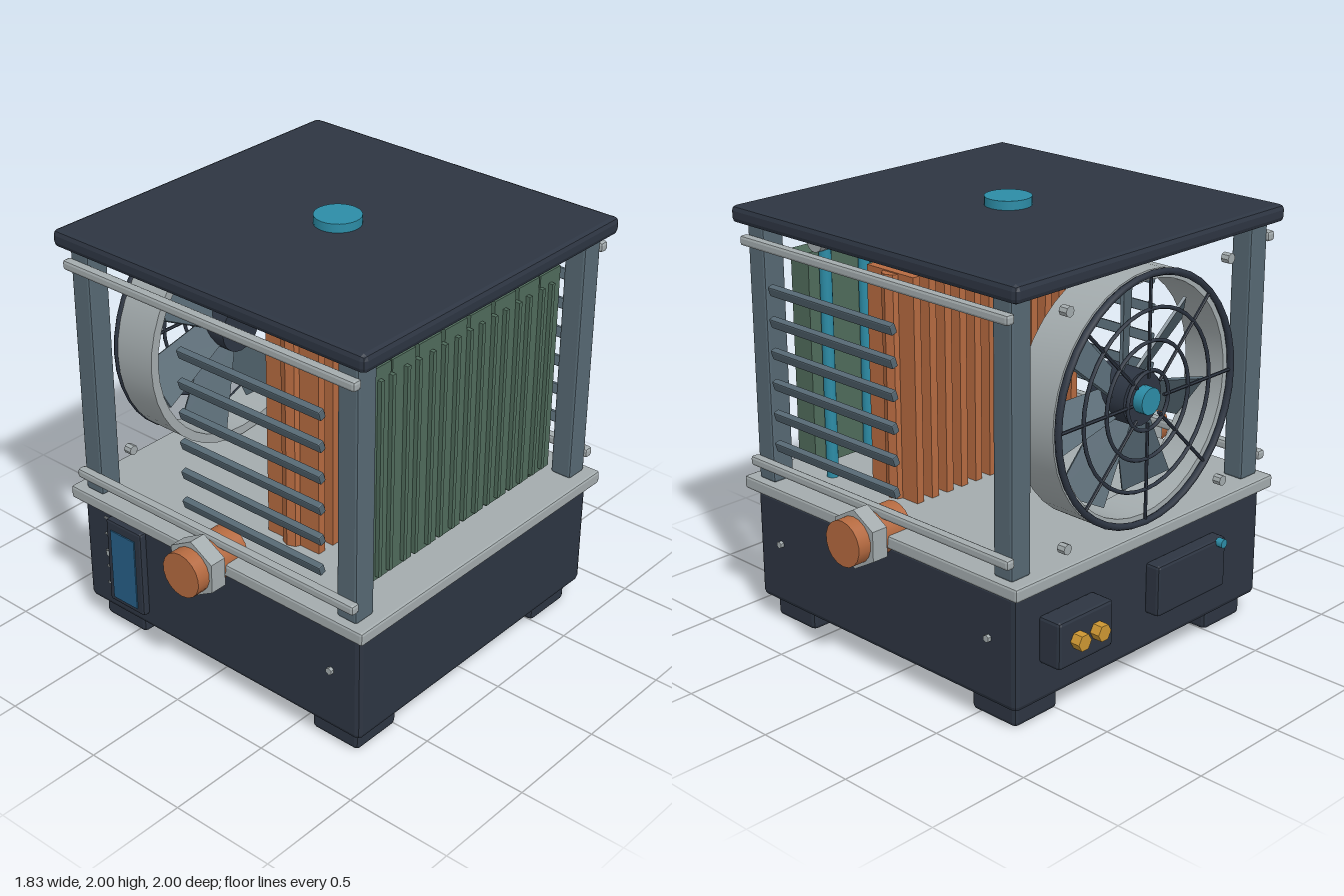
import * as THREE from 'three';
import { toCreasedNormals } from 'three/addons/utils/BufferGeometryUtils.js';
import { RoundedBoxGeometry } from 'three/addons/geometries/RoundedBoxGeometry.js';

const paint = (name, color) => {
  const m = new THREE.MeshStandardMaterial({ color });
  m.name = name;
  return m;
};

export function createModel() {
  const dark = paint('dark navy', 0x2d3542);
  const silver = paint('light grey', 0xa3abad);
  const slate = paint('slate', 0x566873);
  const copper = paint('copper', 0xb56a40);
  const teal = paint('teal', 0x2c8ca6);
  const green = paint('radiator green', 0x4f6b5b);
  const blue = paint('screen blue', 0x265f87);
  const gold = paint('gold', 0xcc9632);

  const model = new THREE.Group();
  const CX = 0.055; // centre of the housing in x

  function add(name, geo, mat, x = 0, y = 0, z = 0, parent = model) {
    const mesh = new THREE.Mesh(geo, mat);
    mesh.name = name;
    mesh.position.set(x, y, z);
    parent.add(mesh);
    return mesh;
  }
  // box with flat chamfered edges
  function chamferBox(w, h, d, r) {
    const g = new RoundedBoxGeometry(w, h, d, 1, r);
    g.computeVertexNormals();
    return g;
  }
  const box = (w, h, d) => new THREE.BoxGeometry(w, h, d);
  // cylinder along the chosen axis
  function rod(r, len, sides, axis = 'y') {
    const g = new THREE.CylinderGeometry(r, r, len, sides);
    if (axis === 'x') g.rotateZ(Math.PI / 2);
    if (axis === 'z') g.rotateX(Math.PI / 2);
    return sides < 10 ? toCreasedNormals(g, 0.3) : g;
  }

  // housing: base, deck, lid and cap
  add('base', chamferBox(1.63, 0.53, 1.594, 0.025), dark, CX, 0.37, 0);
  add('deck', chamferBox(1.715, 0.062, 1.67, 0.012), silver, CX, 0.667, 0);
  add('lid', chamferBox(1.715, 0.08, 1.676, 0.024), dark, CX, 1.92, 0);
  add('topCap', rod(0.105, 0.05, 24), teal, CX, 1.975, 0);

  for (const sx of [-1, 1]) {
    for (const sz of [-1, 1]) {
      add('foot', chamferBox(0.257, 0.115, 0.257, 0.02), dark, CX + sx * 0.638, 0.0575, sz * 0.62);
      add('cornerPost', chamferBox(0.106, 1.19, 0.112, 0.012), slate, CX + sx * 0.742, 1.29, sz * 0.741);
      add('baseScrew', rod(0.017, 0.03, 6, 'z'), silver, CX + sx * 0.66, 0.405, sz * 0.798);
    }
  }

  // front and back: rails, louvres and pipe fittings
  for (const s of [-1, 1]) {
    for (const y of [0.785, 1.81]) {
      add('rail', chamferBox(1.615, 0.046, 0.046, 0.013), silver, CX, y, s * 0.812);
    }
    for (let i = 0; i < 6; i++) {
      const slat = add('louvre', chamferBox(0.775, 0.047, 0.032, 0.006), slate, 0.2975, 0.9 + i * 0.144, s * 0.814);
      slat.rotation.x = s * 0.32;
    }
    add('pipe', rod(0.105, 0.3, 18, 'z'), copper, CX, 0.683, s * 0.85);
    const nut = rod(0.137, 0.08, 6);
    nut.rotateX(Math.PI / 2);
    add('pipeNut', nut, silver, CX, 0.683, s * 0.895);
  }

  // copper fin stack
  for (let i = 0; i < 12; i++) {
    add('copperFin', box(0.29, 1.04, 0.04), copper, 0.255, 1.21, -0.495 + i * 0.09);
  }
  add('finCore', box(0.1, 1.03, 1.0), copper, 0.25, 1.21, 0);
  for (const s of [-1, 1]) add('finPipe', rod(0.052, 1.03, 8), copper, 0.25, 1.21, s * 0.5);

  // radiator with header tank and tubes
  add('radiatorCore', box(0.085, 0.995, 1.272), green, 0.6875, 1.2575, 0);
  for (let i = 0; i < 8; i++) {
    const z = -0.5775 + i * 0.165;
    add('radiatorPanel', box(0.035, 0.995, 0.143), green, 0.7425, 1.2575, THREE.MathUtils.clamp(z, -0.5645, 0.5645));
    if (i < 7) add('radiatorRib', box(0.03, 0.92, 0.02), green, 0.765, 1.24, z + 0.0825);
  }
  for (let i = 0; i < 8; i++) {
    add('radiatorRib', box(0.03, 0.92, 0.02), green, 0.765, 1.24, -0.5645 + i * 0.1613);
  }
  add('headerTank', rod(0.052, 1.24, 20, 'z'), silver, 0.62, 1.812, 0);
  for (let i = 0; i < 6; i++) {
    const bottom = i === 0 ? 0.69 : 0.78;
    add('coolantTube', rod(0.028, 1.79 - bottom, 12), teal, 0.62, (1.79 + bottom) / 2, -0.56 + i * 0.224);
  }

  // fan on the -x side, modelled along its own z axis
  const fan = new THREE.Group();
  fan.name = 'fan';
  fan.position.set(0, 1.268, 0);
  fan.rotation.y = -Math.PI / 2;
  model.add(fan);
  const profile = [[0.52, 0.53], [0.563, 0.53], [0.563, 0.74], [0.52, 0.74], [0.52, 0.53]]
    .map(([r, h]) => new THREE.Vector2(r, h));
  const shroud = new THREE.LatheGeometry(profile, 40);
  shroud.rotateX(Math.PI / 2);
  add('fanShroud', toCreasedNormals(shroud, 0.6), silver, 0, 0, 0, fan);
  add('fanHub', rod(0.12, 0.2, 20, 'z'), dark, 0, 0, 0.625, fan);
  add('hubCap', rod(0.06, 0.05, 16, 'z'), teal, 0, 0, 0.75, fan);

  // pitched blades that widen toward the tip
  const bladeGeo = box(0.14, 0.4, 0.014);
  const p = bladeGeo.attributes.position;
  for (let i = 0; i < p.count; i++) if (p.getY(i) > 0) p.setX(i, p.getX(i) * 1.6 + 0.04);
  bladeGeo.translate(0, 0.29, 0);
  bladeGeo.rotateY(0.55);
  for (let i = 0; i < 7; i++) {
    add('fanBlade', bladeGeo, slate, 0, 0, 0.62, fan).rotation.z = (i / 7) * Math.PI * 2;
  }

  // wire guard
  for (const [r, t] of [[0.55, 0.016], [0.4, 0.009], [0.26, 0.009], [0.13, 0.009]]) {
    add('guardRing', new THREE.TorusGeometry(r, t, 6, 40), dark, 0, 0, 0.757, fan);
  }
  for (let i = 0; i < 8; i++) {
    const a = (i / 8) * Math.PI * 2;
    const spoke = add('guardSpoke', rod(0.008, 0.45, 6), dark, -Math.sin(a) * 0.325, Math.cos(a) * 0.325, 0.757, fan);
    spoke.rotation.z = a;
  }
  for (const sx of [-1, 1]) {
    for (const sy of [-1, 1]) add('fanScrew', rod(0.024, 0.04, 8, 'z'), silver, sx * 0.505, sy * 0.51, 0.755, fan);
  }

  // front gauge with tick marks
  add('gaugeFrame', chamferBox(0.22, 0.435, 0.04, 0.012), dark, -0.475, 0.398, 0.815);
  add('gaugeScreen', box(0.148, 0.358, 0.008), blue, -0.478, 0.388, 0.837);
  for (const y of [0.585, 0.5, 0.41, 0.325, 0.235]) {
    add('gaugeTick', box(0.05, 0.008, 0.008), silver, -0.605, y, 0.799);
  }

  // terminals and status plate on the -x side
  add('terminalBox', chamferBox(0.12, 0.215, 0.33, 0.015), dark, -0.815, 0.4, -0.495);
  for (const z of [-0.555, -0.435]) add('terminal', rod(0.039, 0.07, 6, 'x'), gold, -0.887, 0.405, z);
  add('statusPlate', chamferBox(0.08, 0.24, 0.46, 0.014), dark, -0.793, 0.4, 0.24);
  add('statusLight', rod(0.021, 0.035, 10, 'x'), teal, -0.845, 0.507, 0.42);

  return model;
}
